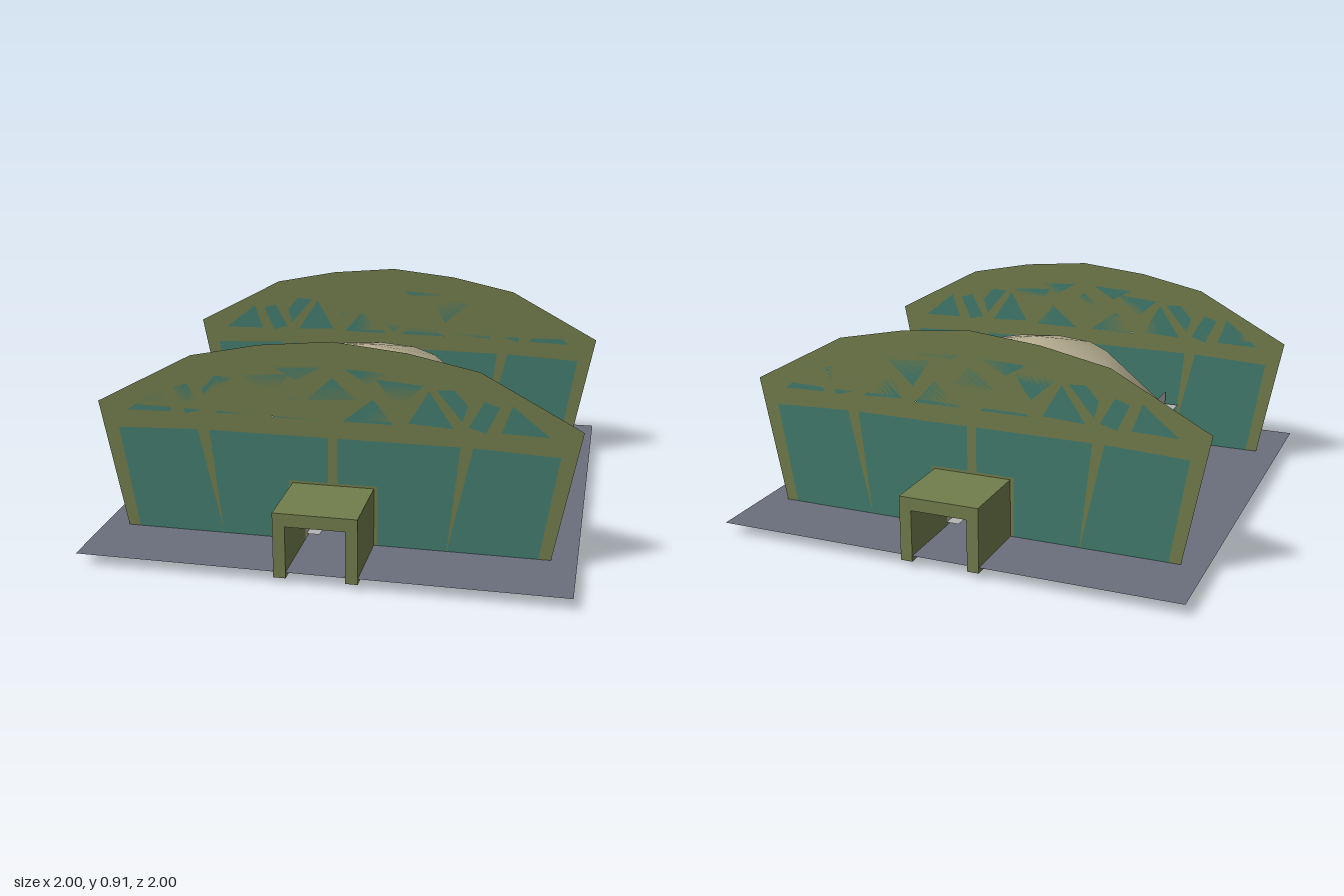
import * as THREE from 'three';

function mat(name, color, side = THREE.DoubleSide) {
  const m = new THREE.MeshStandardMaterial({ color, side });
  m.name = name;
  return m;
}

const shapeOf = (pts) => new THREE.Shape(pts.map(([x, y]) => new THREE.Vector2(x, y)));
const mirrorX = (pts) => pts.map(([x, y]) => [-x, y]).reverse();

// Right half of the glazing; mirrored for the left half
const halfPanes = [
  [[0.84, 0.025], [0.475, 0.025], [0.475, 0.07], [0.57, 0.505], [0.915, 0.49]],
  [[0.475, 0.025], [0.185, 0.025], [0.185, 0.31], [0.02, 0.31], [0.02, 0.505], [0.52, 0.505], [0.475, 0.07]],
  [[0.87, 0.57], [0.72, 0.69], [0.68, 0.575]],
  [[0.67, 0.68], [0.61, 0.7], [0.55, 0.59], [0.62, 0.57]],
  [[0.545, 0.68], [0.49, 0.74], [0.42, 0.735], [0.525, 0.61]],
  [[0.49, 0.58], [0.39, 0.73], [0.31, 0.59]],
  [[0.37, 0.75], [0.18, 0.765], [0.26, 0.65]],
  [[0.25, 0.58], [0.165, 0.68], [0.04, 0.58]],
  [[0.24, 0.79], [0.05, 0.8], [0.15, 0.74]],
];
const diamond = [[0, 0.76], [0.1, 0.67], [0, 0.59], [-0.1, 0.67]];

// Upside-down U used for tunnels
function portal(w, h, iw, ih, depth) {
  return new THREE.ExtrudeGeometry(shapeOf([
    [-w, 0.025], [-iw, 0.025], [-iw, ih], [iw, ih], [iw, 0.025], [w, 0.025], [w, h], [-w, h],
  ]), { depth, bevelEnabled: false });
}

// Twelve-sided dome with smooth normals and a doorway cut at front and back
function domeGeometry() {
  const R = 0.67, base = 0.06, top = 0.715;
  const rows = [[R, base], [0.62, 0.245], [0.58, 0.39], [0.335, 0.63], [0, top]];
  const cols = [];
  for (let i = 0; i < 12; i++) {
    cols.push(i);
    if (i === 0 || i === 6) cols.push(i + 0.375);
    if (i === 5 || i === 11) cols.push(i + 0.625);
  }
  cols.push(12);
  const pos = [], nor = [], idx = [];
  const corner = (i) => [Math.sin(i * Math.PI / 6), Math.cos(i * Math.PI / 6)];
  for (const [r, y] of rows) for (const c of cols) {
    const i = Math.floor(c), f = c - i, a = corner(i), b = corner(i + 1);
    const p = new THREE.Vector3(r * (a[0] + (b[0] - a[0]) * f), y, r * (a[1] + (b[1] - a[1]) * f));
    pos.push(p.x, p.y, p.z);
    const n = new THREE.Vector3(p.x, p.y - base, p.z).normalize();
    nor.push(n.x, n.y, n.z);
  }
  const n = cols.length;
  for (let r = 0; r < rows.length - 1; r++) for (let c = 0; c < n - 1; c++) {
    const mid = ((cols[c] + cols[c + 1]) / 2) % 6;
    if (r === 0 && (mid < 0.375 || mid > 5.625)) continue;
    const a = r * n + c, b = a + 1, d = a + n, e = d + 1;
    idx.push(a, b, e, a, e, d);
  }
  const g = new THREE.BufferGeometry();
  g.setAttribute('position', new THREE.Float32BufferAttribute(pos, 3));
  g.setAttribute('normal', new THREE.Float32BufferAttribute(nor, 3));
  g.setIndex(idx);
  return g;
}

export function createModel() {
  const model = new THREE.Group();
  const olive = mat('olive frame', 0x717d4c);
  const teal = mat('teal glass', 0x427c6e);
  const tan = mat('tan dome', 0xb8b093);
  const slate = mat('slate ground', 0x6b6f7c);
  const white = mat('pale grey tray', 0xb4b4b4);
  const brown = mat('dark brown band', 0x453a2d);

  const add = (name, geo, material, x = 0, y = 0, z = 0, parent = model) => {
    const m = new THREE.Mesh(geo, material);
    m.name = name;
    m.position.set(x, y, z);
    parent.add(m);
    return m;
  };

  // Ground sheet
  add('ground', new THREE.PlaneGeometry(2, 2).rotateX(-Math.PI / 2), slate, 0, 0.05, 0);

  // Glazed end walls with entrance tunnels
  const panes = [...halfPanes, ...halfPanes.map(mirrorX), diamond];
  const wallShape = shapeOf([
    [-0.89, 0.025], [-0.12, 0.025], [-0.12, 0.245], [0.12, 0.245], [0.12, 0.025], [0.89, 0.025],
    [1, 0.6], [0.59, 0.82], [0.3, 0.88], [0, 0.91], [-0.3, 0.88], [-0.59, 0.82], [-1, 0.6],
  ]);
  // Lower panes reach the sill, so holes stop a hair above it
  wallShape.holes = panes.map((p) => new THREE.Path(
    p.map(([x, y]) => new THREE.Vector2(x === 0.475 ? 0.477 : x === -0.475 ? -0.477 : x, Math.max(y, 0.027)))));
  // Neighbouring lower panes share an edge: keep a hairline post between them
  const inner = [1, 1 + halfPanes.length];
  for (const i of inner) {
    wallShape.holes[i] = new THREE.Path(panes[i].map(([x, y]) =>
      new THREE.Vector2(Math.abs(x) === 0.475 ? Math.sign(x) * 0.473 : x, Math.max(y, 0.027))));
  }
  for (const s of [1, -1]) {
    const end = new THREE.Group();
    end.name = s > 0 ? 'frontEnd' : 'backEnd';
    end.rotation.y = s > 0 ? 0 : Math.PI;
    model.add(end);
    add('wallFrame', new THREE.ShapeGeometry(wallShape), olive, 0, 0, 0.68, end);
    add('wallPanes', new THREE.ShapeGeometry(panes.map(shapeOf)), teal, 0, 0, 0.68, end);
    add('entranceTunnel', portal(0.17, 0.3, 0.12, 0.245, 0.33), olive, 0, 0, 0.67, end);
    add('vestibule', portal(0.13, 0.262, 0.12, 0.245, 0.09), tan, 0, 0, 0.585, end);
  }

  // Dome and its bands, broken at the doorways
  add('dome', domeGeometry(), tan);
  const band = (name, rTop, rBottom, h, y) => {
    for (const s of [0, 1]) {
      add(name, new THREE.CylinderGeometry(rTop, rBottom, h, 4, 1, true,
        Math.PI / 6 + s * Math.PI, Math.PI * 2 / 3), brown, 0, y, 0);
      // Short pieces reaching from the last corner to the door jamb
      for (const t of [1, -1]) {
        const k = s ? -1 : 1, r = (rTop + rBottom) / 2;
        const a = new THREE.Vector3(t * r / 2, 0, k * r * 0.866);
        const b = new THREE.Vector3(t * 0.122, 0, k * (r - 0.122 * 0.268));
        const piece = add(name + 'End', new THREE.BoxGeometry(a.distanceTo(b), h, 0.005), brown,
          (a.x + b.x) / 2, y, (a.z + b.z) / 2);
        piece.rotation.y = -Math.atan2(b.z - a.z, b.x - a.x);
      }
    }
  };
  band('upperBand', 0.622, 0.634, 0.04, 0.23);
  band('lowerBand', 0.672, 0.672, 0.045, 0.0475);

  // Two tiers of growing trays with feed pipes, running through the dome
  for (const s of [1, -1]) {
    for (const x of [0.1275, 0.285, 0.4375]) {
      for (const y of [0.065, 0.245]) {
        add('tray', new THREE.PlaneGeometry(0.125, 1.335).rotateX(-Math.PI / 2), white, s * x, y, -0.0125);
        add('feedPipe', new THREE.BoxGeometry(0.02, 0.018, 0.98), teal, s * x, y + 0.002, -0.07);
        if (x > 0.2) {
          add('trayWeb', new THREE.PlaneGeometry(1.335, 0.13).rotateY(Math.PI / 2), white, s * x, y, -0.0125);
        }
      }
    }
    add('crossPanel', new THREE.PlaneGeometry(0.44, 0.295), white, s * 0.285, 0.1625, 0.44);
  }

  // Small drums standing in the dome floor
  for (const [x, z] of [[0.23, -0.44], [-0.19, -0.32], [0.35, -0.12], [-0.13, 0.13]]) {
    if (Math.abs(x) > 0.15) {
      add('drum', new THREE.CylinderGeometry(0.03, 0.03, 0.07, 8), olive, x, 0.07, z);
    }
  }
  return model;
}
